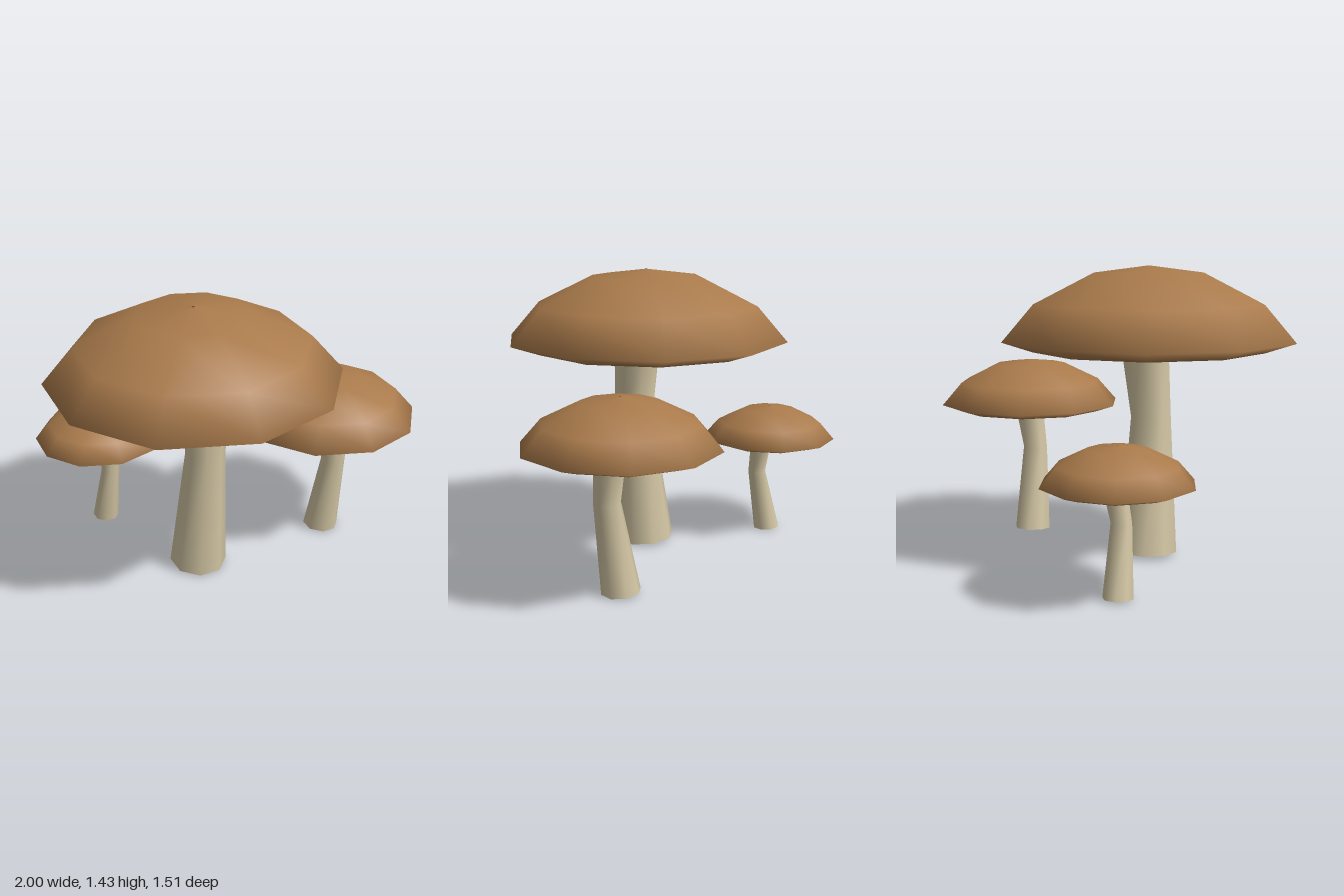
import * as THREE from 'three';

const capMaterial = new THREE.MeshStandardMaterial({ color: 0xa97a4b, side: THREE.DoubleSide });
const stemMaterial = new THREE.MeshStandardMaterial({ color: 0xd3c6a4 });

// Cap profile (radius, height) for a full-size mushroom: gill hole, rim, crown
const CAP_PROFILE = [
  [0.1, 1.06], [0.57, 1.025], [0.72, 1.075], [0.567, 1.25], [0.28, 1.392], [0.008, 1.427],
].map(([r, y]) => new THREE.Vector2(r, y));

// Ten-sided cap with a corner pointing along x
function makeCap(scale) {
  const geometry = new THREE.LatheGeometry(CAP_PROFILE, 10, Math.PI / 2);
  geometry.scale(scale, scale, scale);
  const cap = new THREE.Mesh(geometry, capMaterial);
  cap.name = 'cap';
  return cap;
}

// Bent stem: three rings; the sideways bend is the same at every size
function makeStem(scale) {
  const rings = [
    { x: 0, y: 0.012, z: 0, r: 0.145 },
    { x: 0.042, y: 0.68, z: 0.046, r: 0.1 },
    { x: 0.06, y: 1.06, z: 0.017, r: 0.12 },
  ];
  const geometry = new THREE.CylinderGeometry(1, 1, 2, 8, 2);
  const p = geometry.attributes.position;
  for (let i = 0; i < p.count; i++) {
    const level = Math.round(p.getY(i)) + 1;
    const ring = rings[level];
    const dx = p.getX(i) * ring.r * scale;
    const dz = p.getZ(i) * ring.r * scale;
    // The foot is cut square to the leaning stem
    const tilt = level === 0 ? -0.055 * (dx + dz) : 0;
    p.setXYZ(i, ring.x + dx, ring.y * scale + tilt, ring.z + dz);
  }
  geometry.computeVertexNormals();

  // Share normals across the seam
  const n = geometry.attributes.normal;
  for (let row = 0; row < 3; row++) {
    const a = row * 9, b = a + 8;
    const v = new THREE.Vector3().fromBufferAttribute(n, a)
      .add(new THREE.Vector3().fromBufferAttribute(n, b)).normalize();
    n.setXYZ(a, v.x, v.y, v.z);
    n.setXYZ(b, v.x, v.y, v.z);
  }
  const stem = new THREE.Mesh(geometry, stemMaterial);
  stem.name = 'stem';
  return stem;
}

export function createModel() {
  const model = new THREE.Group();
  model.name = 'mushroomCluster';
  const mushrooms = [
    ['largeMushroom', -0.18, 0.065, 1],
    ['mediumMushroom', 0.528, -0.2, 0.65],
    ['smallMushroom', -0.655, -0.43, 0.48],
  ];
  for (const [name, x, z, scale] of mushrooms) {
    const mushroom = new THREE.Group();
    mushroom.name = name;
    mushroom.position.set(x, 0, z);
    mushroom.add(makeCap(scale), makeStem(scale));
    model.add(mushroom);
  }
  return model;
}
